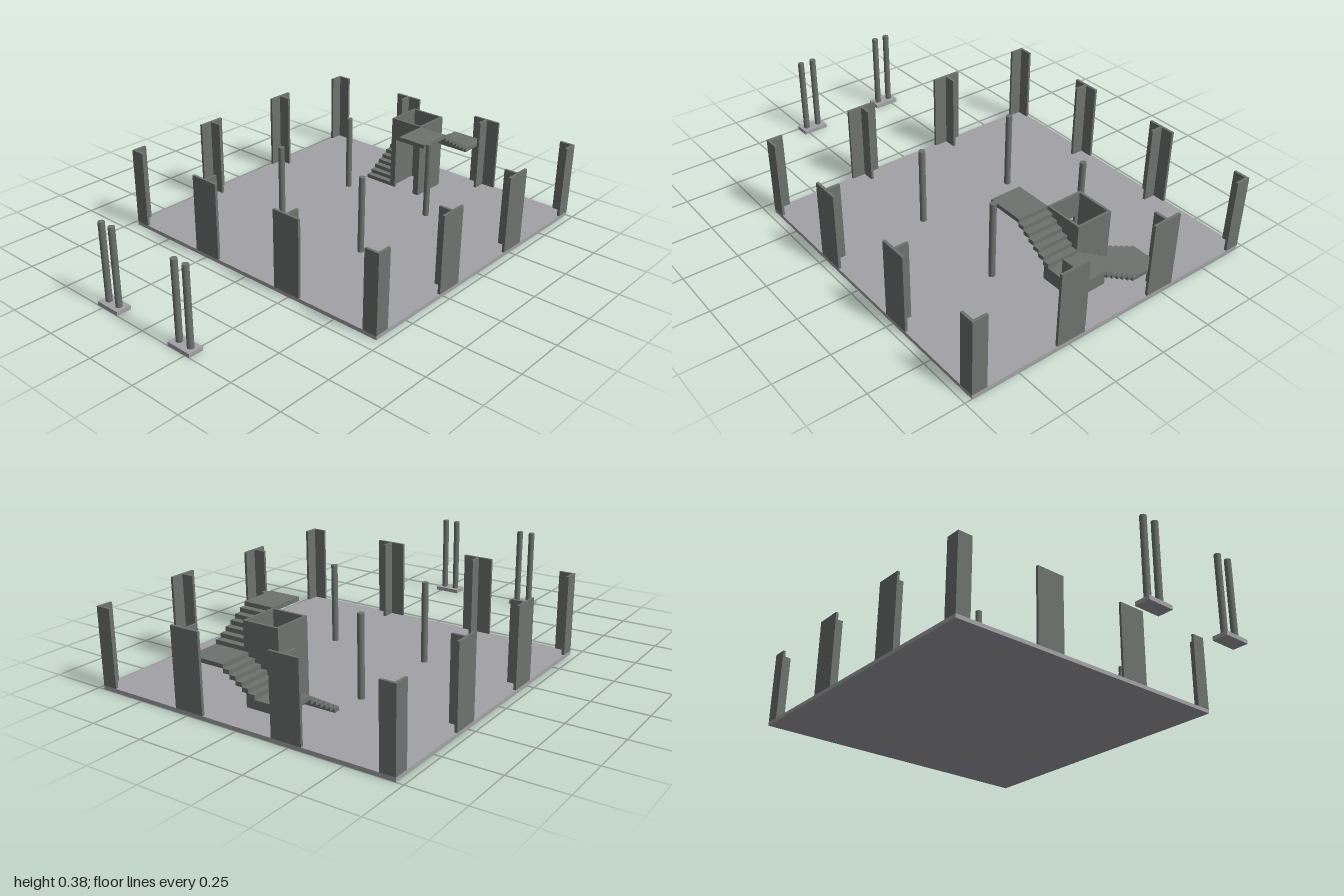
import * as THREE from 'three';

export function createModel() {
  const model = new THREE.Group();
  const floorMat = new THREE.MeshStandardMaterial({ name: 'light grey floor', color: 0xa3a3a7 });
  const wallMat = new THREE.MeshStandardMaterial({ name: 'greenish grey concrete', color: 0x6d736e });

  const FLOOR = 0.018, TOP = 0.38, BACK_TOP = 0.363;

  // Box given by its lower and upper corners
  function box(parent, name, mat, x0, x1, y0, y1, z0, z1) {
    const mesh = new THREE.Mesh(new THREE.BoxGeometry(x1 - x0, y1 - y0, z1 - z0), mat);
    mesh.position.set((x0 + x1) / 2, (y0 + y1) / 2, (z0 + z1) / 2);
    mesh.name = name;
    parent.add(mesh);
  }
  function group(name) {
    const g = new THREE.Group();
    g.name = name;
    model.add(g);
    return g;
  }
  function column(parent, x, z) {
    const mesh = new THREE.Mesh(new THREE.CylinderGeometry(0.0145, 0.0145, TOP - FLOOR, 24), wallMat);
    mesh.position.set(x, (TOP + FLOOR) / 2, z);
    mesh.name = 'roundColumn';
    parent.add(mesh);
  }

  // Floor slab
  box(model, 'floorSlab', floorMat, -0.718, 0.718, 0, FLOOR, -1, 0.437);

  // L-shaped corner piers and T-shaped piers along the edges
  const T = 0.012, ARM = 0.07, W = 0.718;
  const piers = group('perimeterPiers');
  for (const s of [-1, 1]) {
    for (const [edge, inward, top] of [[0.437, -1, TOP], [-1, 1, BACK_TOP]]) {
      const span = (a, b) => [Math.min(a, b), Math.max(a, b)];
      const outer = span(edge, edge + inward * T);
      const leg = span(edge + inward * T, edge + inward * ARM);
      box(piers, 'cornerPierFace', wallMat, ...span(s * W, s * (W - ARM)), FLOOR, top, ...outer);
      box(piers, 'cornerPierSide', wallMat, ...span(s * W, s * (W - T)), FLOOR, top, ...leg);
      box(piers, 'edgePierFace', wallMat, s * 0.24 - 0.07, s * 0.24 + 0.07, FLOOR, top, ...outer);
      box(piers, 'edgePierStem', wallMat, s * 0.24 - T / 2, s * 0.24 + T / 2, FLOOR, top, ...leg);
    }
    for (const z of [-0.52, -0.04]) {
      const span = (a, b) => [Math.min(a, b), Math.max(a, b)];
      box(piers, 'sidePierFace', wallMat, ...span(s * W, s * (W - T)), FLOOR, TOP, z - 0.065, z + 0.065);
      box(piers, 'sidePierStem', wallMat, ...span(s * (W - T), s * (W - ARM)), FLOOR, TOP, z - T / 2, z + T / 2);
    }
  }

  // Inner round columns
  const columns = group('innerColumns');
  for (const x of [-0.24, 0.24]) for (const z of [-0.52, -0.04]) column(columns, x, z);

  // Detached porch footings, each with a pair of columns
  const porch = group('porchColumns');
  for (const x of [-0.219, 0.213]) {
    box(porch, 'porchFooting', floorMat, x - 0.062, x + 0.062, 0, FLOOR, 0.93, 1);
    for (const dx of [-0.032, 0.032]) column(porch, x + dx, 0.965);
  }

  // Open-topped lift shaft with a doorway in front
  const shaft = group('liftShaft');
  const X0 = -0.088, X1 = 0.084, Z0 = -0.84, Z1 = -0.663, S = 0.011;
  box(shaft, 'shaftBack', wallMat, X0, X1, FLOOR, TOP, Z0, Z0 + S);
  box(shaft, 'shaftRight', wallMat, X0, X0 + S, FLOOR, TOP, Z0 + S, Z1);
  box(shaft, 'shaftLeft', wallMat, X1 - S, X1, FLOOR, TOP, Z0 + S, Z1);
  box(shaft, 'doorJambRight', wallMat, X0 + S, -0.06, FLOOR, TOP, Z1 - S, Z1);
  box(shaft, 'doorJambLeft', wallMat, 0.054, X1 - S, FLOOR, TOP, Z1 - S, Z1);
  box(shaft, 'doorLintel', wallMat, -0.06, 0.054, 0.272, TOP, Z1 - S, Z1);

  // Stairs wrapping the shaft: three flights, two corner landings, one upper landing
  const stairs = group('stairs');
  const R = (TOP - FLOOR) / 20, RUN = (Z1 - Z0) / 6;
  const level = n => FLOOR + n * R;
  for (let i = 0; i < 6; i++) {
    box(stairs, 'lowerTread', wallMat, -0.235, X0, level(i), level(i + 1), Z1 - (i + 1) * RUN, Z1 - i * RUN);
    box(stairs, 'upperTread', wallMat, X1, 0.23, level(13 + i), level(14 + i), Z0 + i * RUN, Z0 + (i + 1) * RUN);
  }
  box(stairs, 'firstLanding', wallMat, -0.235, X0, level(6), level(7), -0.986, Z0);
  for (let i = 0; i < 5; i++) {
    const x = X0 + i * 0.03;
    box(stairs, 'middleTread', wallMat, x, x + 0.03, level(7 + i), level(8 + i), -0.986, Z0);
  }
  box(stairs, 'secondLanding', wallMat, X0 + 0.15, 0.23, level(12), level(13), -0.986, Z0);
  box(stairs, 'upperLanding', wallMat, X1, 0.23, level(19), level(20), Z1, -0.495);

  return model;
}
